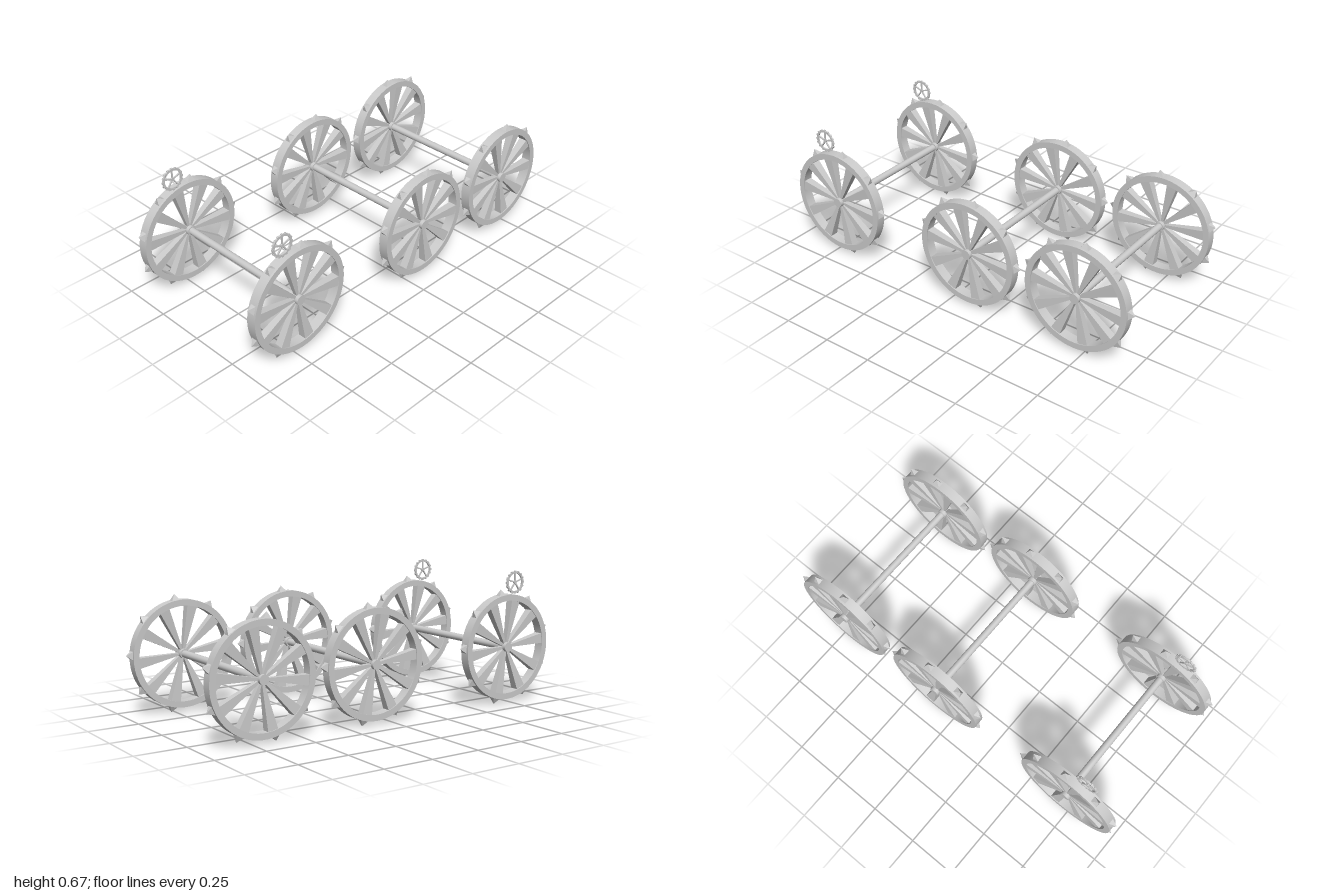
import * as THREE from 'three';
import { toCreasedNormals } from 'three/addons/utils/BufferGeometryUtils.js';

const metal = new THREE.MeshStandardMaterial({ color: 0xcccccc });
const AXLE_Y = 0.293, WHEEL_Z = 0.38, RIM_R = 0.266;
const rad = THREE.MathUtils.degToRad;

function add(parent, name, geometry) {
  const mesh = new THREE.Mesh(geometry, metal);
  mesh.name = name;
  parent.add(mesh);
  return mesh;
}

// Flat-sided ring around the z axis
function ring(inner, outer, depth, segments) {
  const h = depth / 2;
  const profile = [[outer, -h], [outer, h], [inner, h], [inner, -h], [outer, -h]]
    .map(([r, y]) => new THREE.Vector2(r, y));
  const g = new THREE.LatheGeometry(profile, segments).rotateX(Math.PI / 2);
  return toCreasedNormals(g, rad(35));
}

function rod(radius, length, segments = 20) {
  return new THREE.CylinderGeometry(radius, radius, length, segments).rotateX(Math.PI / 2);
}

// Wedge spoke along +x, widening from hub to rim
function wedge(r0, r1, w0, w1, d0, d1) {
  const g = new THREE.BoxGeometry(r1 - r0, 1, 1).translate((r0 + r1) / 2, 0, 0);
  const p = g.attributes.position;
  for (let i = 0; i < p.count; i++) {
    const t = (p.getX(i) - r0) / (r1 - r0);
    p.setY(i, p.getY(i) * THREE.MathUtils.lerp(w0, w1, t));
    p.setZ(i, p.getZ(i) * THREE.MathUtils.lerp(d0, d1, t));
  }
  g.computeVertexNormals();
  return g;
}

// Four-sided spike pointing along +x
function spikeGeometry() {
  const g = new THREE.ConeGeometry(Math.SQRT1_2, 0.036, 4).rotateY(Math.PI / 4).toNonIndexed();
  g.scale(0.05, 1, 0.036).rotateZ(-Math.PI / 2).translate(RIM_R - 0.007 + 0.018, 0, 0);
  g.computeVertexNormals();
  return g;
}

const rimGeo = ring(0.236, RIM_R, 0.05, 64);
const hubGeo = rod(0.024, 0.056);
const spokeGeo = wedge(0.012, 0.24, 0.01, 0.052, 0.02, 0.042);
const spikeGeo = spikeGeometry();

function spikedWheel(name, turn) {
  const wheel = new THREE.Group();
  wheel.name = name;
  add(wheel, 'rim', rimGeo);
  add(wheel, 'hub', hubGeo);
  for (let i = 0; i < 10; i++) add(wheel, 'spoke', spokeGeo).rotation.z = rad(i * 36 - 6);
  for (let i = 0; i < 9; i++) add(wheel, 'spike', spikeGeo).rotation.z = rad(i * 40 + 3);
  wheel.rotation.z = rad(turn);
  return wheel;
}

// Small thin handwheel resting on the rim
function handWheel(name) {
  const wheel = new THREE.Group();
  wheel.name = name;
  add(wheel, 'handwheelRim', ring(0.045, 0.055, 0.008, 32));
  add(wheel, 'handwheelHub', rod(0.009, 0.009, 12));
  for (let i = 0; i < 5; i++) {
    const spoke = add(wheel, 'handwheelSpoke', wedge(0.004, 0.048, 0.006, 0.006, 0.007, 0.007));
    spoke.rotation.z = rad(i * 72 + 18);
  }
  for (let i = 0; i < 16; i++) {
    const grip = add(wheel, 'handwheelGrip', wedge(0.05, 0.058, 0.011, 0.009, 0.01, 0.01));
    grip.rotation.z = rad(i * 22.5);
  }
  return wheel;
}

export function createModel() {
  const model = new THREE.Group();
  model.name = 'wheelSet';

  // Three axles, each with a wheel at both ends
  const axles = [['right', -0.718, 0], ['middle', 0.1, 0], ['left', 0.702, 13]];
  for (const [side, x, backTurn] of axles) {
    const axleSet = new THREE.Group();
    axleSet.name = side + 'AxleSet';
    axleSet.position.set(x, AXLE_Y, 0);
    add(axleSet, 'axle', rod(0.018, 2 * WHEEL_Z));
    const front = spikedWheel('frontWheel', 0);
    front.position.z = WHEEL_Z;
    const back = spikedWheel('backWheel', backTurn);
    back.position.z = -WHEEL_Z;
    axleSet.add(front, back);
    model.add(axleSet);
  }

  // Handwheels above the right-hand pair
  for (const [name, z] of [['frontHandwheel', 0.381], ['backHandwheel', -0.363]]) {
    const wheel = handWheel(name);
    wheel.position.set(-0.793, 0.613, z);
    model.add(wheel);
  }
  return model;
}
